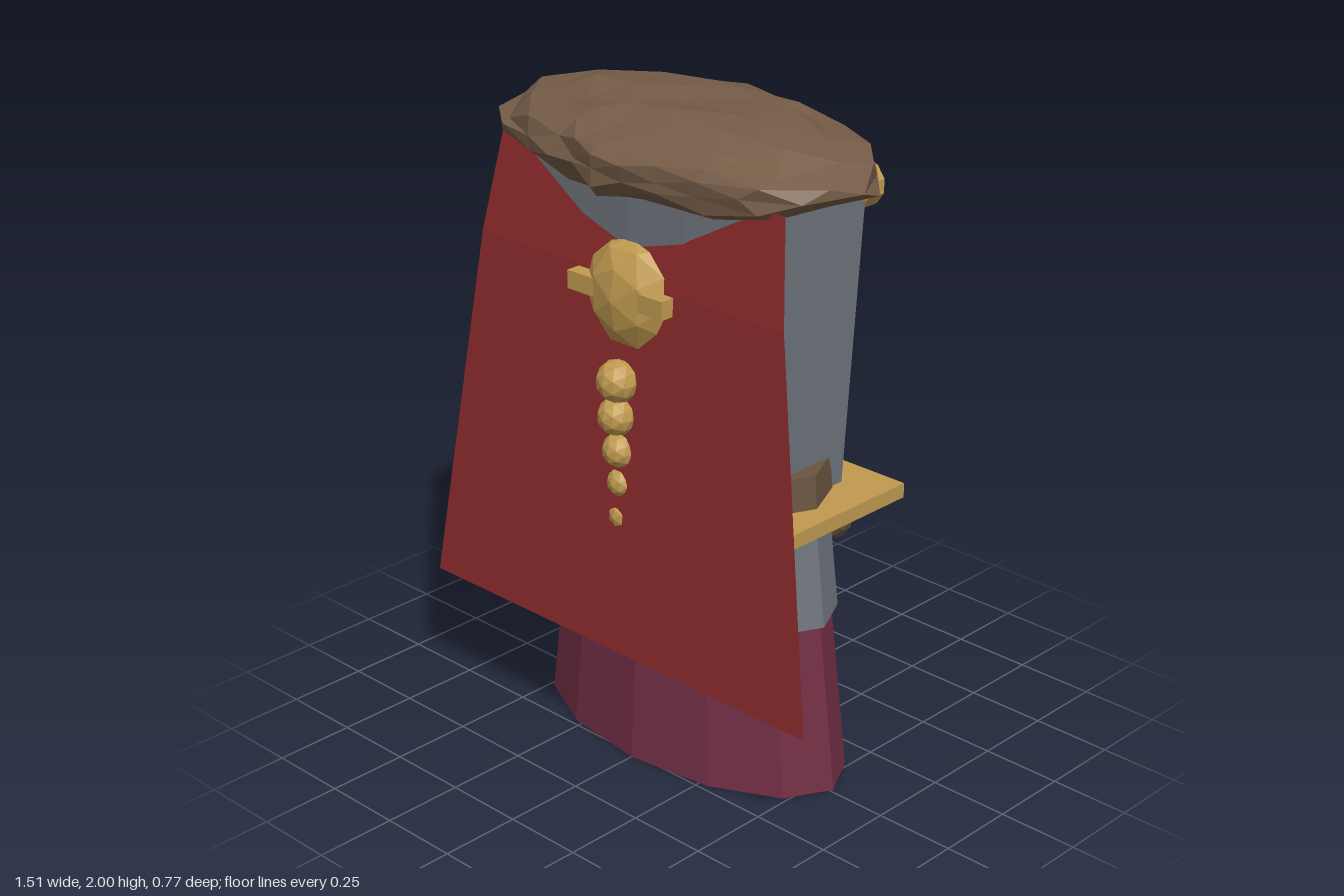
import * as THREE from 'three';

const mat = (name, color, side = THREE.FrontSide) => {
  const m = new THREE.MeshStandardMaterial({ color, flatShading: true, side });
  m.name = name;
  return m;
};

export function createModel() {
  const M = {
    fur: mat('furBrown', 0x755c47),
    steel: mat('steelGrey', 0x70767e),
    cape: mat('capeRed', 0x8e2b2c, THREE.DoubleSide),
    robe: mat('robeWine', 0x732f45, THREE.DoubleSide),
    gold: mat('gold', 0xc09a50),
    skin: mat('skin', 0xc49c80),
    leather: mat('leatherBrown', 0x6b5440),
    dark: mat('darkBrown', 0x4c3d30),
    eye: mat('eyeGrey', 0x45464b),
  };
  const root = new THREE.Group();
  const add = (name, geo, m, x = 0, y = 0, z = 0) => {
    const mesh = new THREE.Mesh(geo, m);
    mesh.name = name;
    mesh.position.set(x, y, z);
    root.add(mesh);
    return mesh;
  };
  const box = (name, m, w, h, d, x, y, z) => add(name, new THREE.BoxGeometry(w, h, d), m, x, y, z);
  // twelve-sided oval band between two heights
  const oval = (name, m, top, bottom, y0, y1, ratio, open) => {
    const g = new THREE.CylinderGeometry(top, bottom, y1 - y0, 12, 1, open).scale(1, 1, ratio);
    return add(name, g, m, 0, (y0 + y1) / 2, -0.011);
  };
  const lump = (name, m, detail, rx, ry, rz, x, y, z) =>
    add(name, new THREE.IcosahedronGeometry(1, detail).scale(rx, ry, rz), m, x, y, z);

  // robe, tunic hem and belt
  oval('robe', M.robe, 0.495, 0.56, 0, 0.53, 0.497, true);
  oval('tunicHem', M.steel, 0.47, 0.51, 0.52, 0.86, 0.54, false);
  oval('belt', M.leather, 0.465, 0.475, 0.87, 0.985, 0.585, false);

  // torso: slab with flat sides and bowed front and back, narrowing to the waist
  const quarter = [[0.46, 0.19], [0.4, 0.238], [0.2, 0.258], [0, 0.268]];
  const outline = [
    ...quarter,
    ...quarter.slice(0, 3).reverse().map(([x, z]) => [-x, z]),
    ...quarter.map(([x, z]) => [-x, -z]),
    ...quarter.slice(0, 3).reverse().map(([x, z]) => [x, -z]),
  ].map(([x, z]) => new THREE.Vector2(x, z));
  const torso = new THREE.ExtrudeGeometry(new THREE.Shape(outline), { depth: 1, bevelEnabled: false });
  torso.rotateX(-Math.PI / 2);
  const tp = torso.attributes.position;
  for (let i = 0; i < tp.count; i++) {
    const t = tp.getY(i);
    tp.setX(i, tp.getX(i) * (0.87 + 0.14 * t));
    tp.setZ(i, tp.getZ(i) * (0.975 + 0.03 * t));
  }
  add('torso', torso, M.steel, 0, 0.84, -0.012).scale.y = 1.0;

  // cape: one bent sheet, widening downwards
  const cape = new THREE.PlaneGeometry(2, 1, 1, 2);
  const rows = [[0.545, 1.83, 0.22], [0.59, 1.53, 0.27], [0.755, 0.4, 0.35]];
  const cp = cape.attributes.position;
  for (let i = 0; i < cp.count; i++) {
    const [w, y, z] = rows[Math.floor(i / 2)];
    cp.setXYZ(i, i % 2 ? w : -w, y, z);
  }
  add('cape', cape, M.cape);

  // ragged fur cap: radius by compass angle, with hashed jitter
  const radii = [0.635, 0.59, 0.455, 0.36, 0.385, 0.36, 0.43, 0.56, 0.645, 0.57, 0.44, 0.41, 0.375, 0.365, 0.45, 0.58];
  const hash = (x, y, z) => {
    const s = Math.sin(Math.round(x * 1e3) * 12.99 + Math.round(y * 1e3) * 78.23 + Math.round(z * 1e3) * 37.72) * 43758.5;
    return s - Math.floor(s) - 0.5;
  };
  const fur = new THREE.IcosahedronGeometry(1, 3);
  const fp = fur.attributes.position;
  for (let i = 0; i < fp.count; i++) {
    const x = fp.getX(i), y = fp.getY(i), z = fp.getZ(i);
    const a = ((Math.atan2(z, x) / (Math.PI * 2) + 1) % 1) * 16;
    const k = Math.floor(a) % 16;
    const r = THREE.MathUtils.lerp(radii[k], radii[(k + 1) % 16], a - Math.floor(a));
    const flat = Math.hypot(x, z);
    const s = flat > 1e-4 ? (r * Math.pow(flat, 0.85) * (1 + 0.1 * hash(x, y, z))) / flat : 0;
    fp.setXYZ(i, x * s, y * 0.13 + 0.035 * hash(z, x, y), z * s);
  }
  // fit the cap to its overall size
  fur.computeBoundingBox();
  const bb = fur.boundingBox, size = bb.getSize(new THREE.Vector3());
  fur.translate(-bb.min.x, -bb.min.y, -bb.min.z);
  fur.scale(1.29 / size.x, 0.265 / size.y, 0.765 / size.z);
  add('furCap', fur, M.fur, -0.655, 1.735, -0.38);

  // domed badge on the cap
  const badge = new THREE.LatheGeometry(
    [[0, -0.04], [0.07, -0.04], [0.07, 0.03], [0.035, 0.048], [0, 0.05]].map(([r, y]) => new THREE.Vector2(r, y)), 10);
  add('badge', badge.rotateX(-Math.PI / 2), M.gold, 0.32, 1.735, -0.34);

  // knot, clasp bar and tapering braid
  lump('braidKnot', M.gold, 1, 0.172, 0.172, 0.105, 0.005, 1.48, 0.232);
  box('claspBar', M.gold, 0.37, 0.055, 0.09, 0, 1.495, 0.272);
  const beads = [[1.235, 0.064, 0.305], [1.13, 0.058, 0.31], [1.022, 0.053, 0.3],
    [0.92, 0.047, 0.29], [0.815, 0.046, 0.286], [0.71, 0.043, 0.277]];
  beads.forEach(([y, r, z]) => lump('braidBead', M.gold, 1, r, r, r, 0, y, z));
  box('braidTie', M.gold, 0.07, 0.045, 0.07, 0, 0.577, 0.295);

  // belt plate, buckle, pouch and rod
  box('beltPlate', M.gold, 1.08, 0.045, 0.582, 0, 0.8625, -0.024);
  box('buckle', M.gold, 0.11, 0.105, 0.05, 0, 0.933, -0.311);
  lump('pouch', M.leather, 1, 0.08, 0.1, 0.048, 0.335, 0.77, -0.233);
  const rod = add('rod', new THREE.CylinderGeometry(0.036, 0.03, 0.2, 6), M.dark, -0.31, 0.765, -0.248);
  rod.rotation.z = 0.08;

  // small face: tapered cheeks and chin
  const face = new THREE.CylinderGeometry(0.14, 0.05, 0.24, 8).scale(1, 1, 0.35);
  const ff = face.attributes.position;
  for (let i = 0; i < ff.count; i++) if (ff.getY(i) < 0) ff.setZ(i, ff.getZ(i) * 1.6);
  add('face', face, M.skin, 0, 1.37, -0.252);
  lump('chin', M.skin, 0, 0.055, 0.045, 0.03, 0, 1.215, -0.268);
  // wedge nose
  const nose = new THREE.ConeGeometry(0.065, 0.15, 4);
  const np = nose.attributes.position;
  for (let i = 0; i < np.count; i++) {
    if (np.getY(i) > 0) np.setZ(i, np.getZ(i) + 0.01);
  }
  add('nose', nose, M.skin, 0, 1.355, -0.306);
  box('browRidge', M.gold, 0.24, 0.035, 0.05, 0, 1.495, -0.285);
  for (const s of [1, -1]) {
    const brow = box('eyebrow', M.dark, 0.125, 0.032, 0.05, s * 0.11, 1.452, -0.287);
    brow.rotation.z = s * 0.12;
    box('eye', M.eye, 0.04, 0.045, 0.04, s * 0.085, 1.395, -0.278);
  }
  return root;
}
